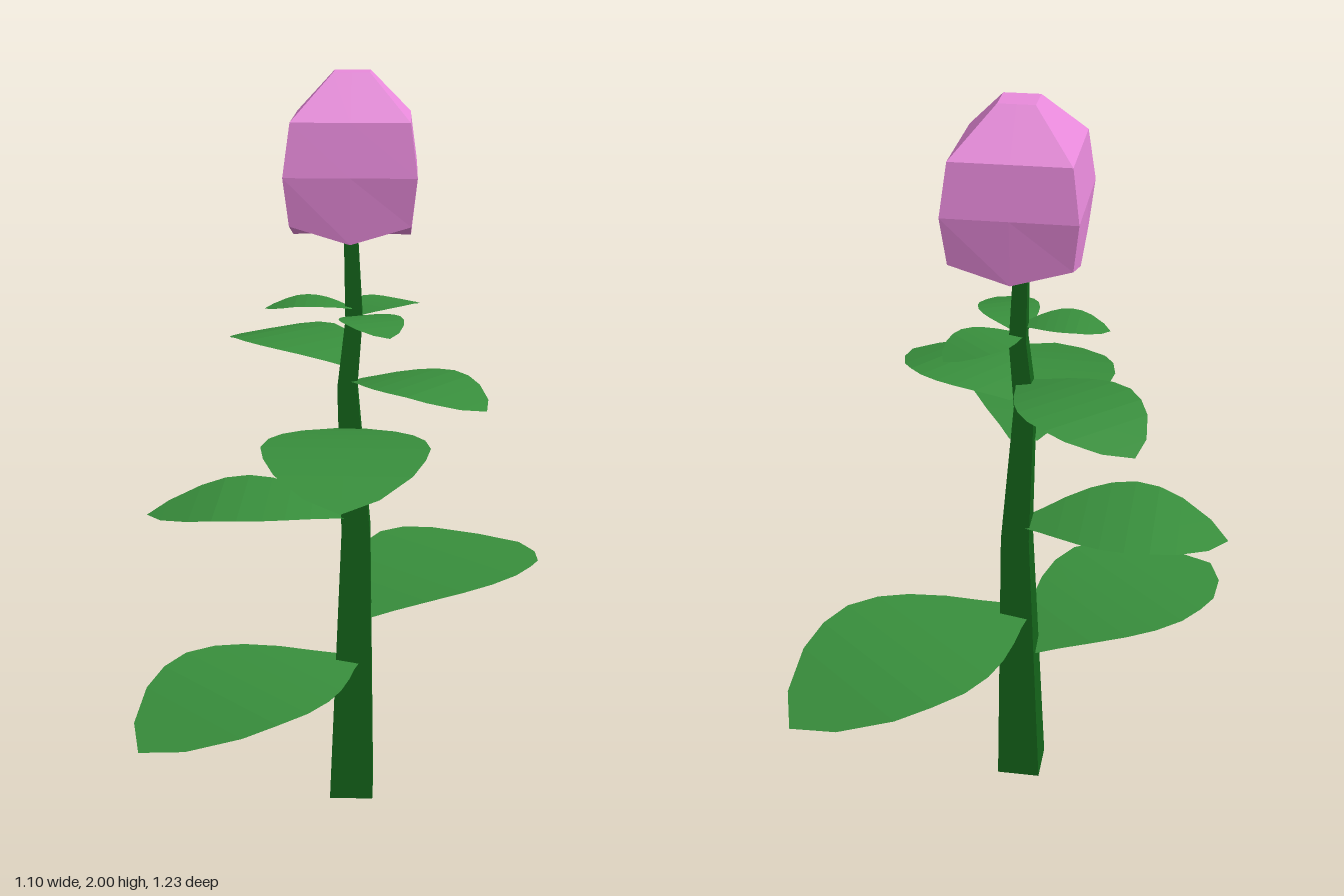
import * as THREE from 'three';

const paint = (color, extra = {}) =>
  new THREE.MeshStandardMaterial({ color, flatShading: true, ...extra });

// Build a flat-shaded geometry from points and triangle indices
function facets(points, index) {
  const g = new THREE.BufferGeometry();
  g.setAttribute('position', new THREE.Float32BufferAttribute(points.flat(), 3));
  g.setIndex(index);
  const flat = g.toNonIndexed();
  flat.computeVertexNormals();
  return flat;
}

// Skin a stack of equal-length rings (counter-clockwise from above) and cap both ends
function loft(rings, bottom, top) {
  const n = rings[0].length;
  const points = [...rings.flat(), bottom, top];
  const b = n * rings.length, t = b + 1, index = [];
  for (let j = 0; j < n; j++) {
    const k = (j + 1) % n;
    for (let i = 0; i < rings.length - 1; i++) {
      const o = i * n, u = o + n;
      index.push(o + j, o + k, u + j, o + k, u + k, u + j);
    }
    index.push(b, k, j, t, b - n + j, b - n + k);
  }
  return facets(points, index);
}

// Square ring with corners and edge midpoints; the corners can be lifted
const SQUARE = [[1, 1], [0, 1], [-1, 1], [-1, 0], [-1, -1], [0, -1], [1, -1], [1, 0]].reverse();
const squareRing = (cx, y, cz, half, lift = 0) =>
  SQUARE.map(([x, z]) => [cx + x * half, y + (x && z ? lift : 0), cz + z * half]);

// Leaf stations: distance along, half width and arch height, as shares of the length
const LEAF = [
  [0, 0.06, 0], [0.08, 0.115, 0.02], [0.18, 0.192, 0.045], [0.295, 0.267, 0.066],
  [0.4, 0.314, 0.078], [0.52, 0.335, 0.083], [0.64, 0.314, 0.075],
  [0.76, 0.264, 0.05], [0.91, 0.142, 0.01], [1, 0, -0.015],
];

// Arched leaf running from a base point to a tip point (x, z)
function leafGeometry([bx, bz], [tx, tz], y) {
  const dx = tx - bx, dz = tz - bz, len = Math.hypot(dx, dz);
  const points = [], index = [];
  LEAF.forEach(([t, w, h], i) => {
    for (const s of [-1, 0, 1]) {
      points.push([bx + dx * t - dz * w * s, y + h * len, bz + dz * t + dx * w * s]);
    }
    if (i === 0) return;
    const a = (i - 1) * 3;
    for (const o of [a, a + 1]) index.push(o, o + 1, o + 3, o + 1, o + 4, o + 3);
  });
  // wind so the upper side is the front
  for (let i = 0; i < index.length; i += 3) {
    [index[i + 1], index[i + 2]] = [index[i + 2], index[i + 1]];
  }
  return facets(points, index);
}

export function createModel() {
  const group = new THREE.Group();
  const add = (name, geometry, material) => {
    const mesh = new THREE.Mesh(geometry, material);
    mesh.name = name;
    group.add(mesh);
  };

  // Tapered, slightly bent square stem: centre x, height, half width
  const stem = [
    [0.01, 0, 0.06], [0.021, 0.8, 0.038], [-0.002, 1.2, 0.026],
    [0.015, 1.38, 0.022], [0.006, 1.62, 0.017],
  ];
  add('stem', loft(stem.map(([x, y, h]) => squareRing(x, y, -0.02, h)),
    [0.01, 0, -0.02], [0.006, 1.62, -0.02]), paint(0x14641a));

  // Square bud with notched lower corners: height, half width, corner lift
  const bud = [
    [1.595, 0.15, 0.045], [1.76, 0.164, 0], [1.89, 0.146, 0], [2, 0.045, 0],
  ];
  add('flowerBud', loft(bud.map(([y, h, lift]) => squareRing(0.009, y, -0.038, h, lift)),
    [0.009, 1.6, -0.038], [0.009, 2, -0.038]), paint(0xe88adb));

  // Leaves spiralling up the stem: base (x, z), tip (x, z), base height
  const leaves = [
    [[0, -0.01], [-0.5, 0.515], 0.415],
    [[0.02, -0.02], [0.51, -0.6], 0.545],
    [[0, -0.02], [-0.547, -0.02], 0.838],
    [[0.005, -0.01], [0.005, 0.61], 1.085],
    [[0.02, -0.02], [0.35, 0.235], 1.215],
    [[0, -0.02], [-0.315, -0.36], 1.26],
    [[0.01, -0.01], [0.175, -0.19], 1.39],
    [[0.01, 0], [0.11, 0.22], 1.39],
    [[0.01, 0], [-0.215, 0], 1.412],
  ];
  const green = paint(0x388e3c, { side: THREE.DoubleSide });
  leaves.forEach(([base, tip, y], i) => add(`leaf${i + 1}`, leafGeometry(base, tip, y), green));

  return group;
}
